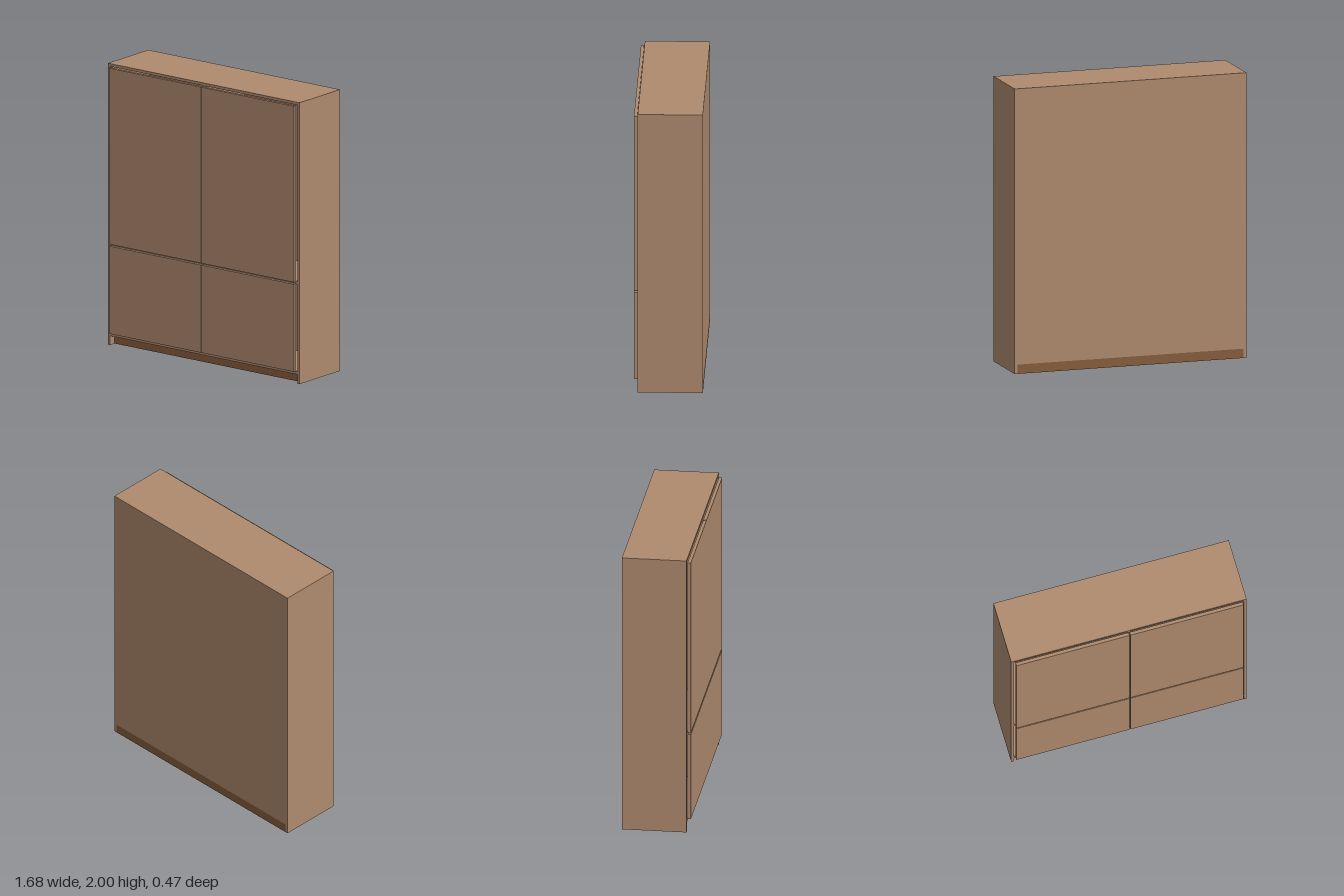
import * as THREE from 'three';

export function createModel() {
  const group = new THREE.Group();
  group.name = 'wardrobe';
  const wood = new THREE.MeshStandardMaterial({ color: 0xae8a6e });
  const darkWood = new THREE.MeshStandardMaterial({ color: 0x865c3c });

  // Box given by its extents along each axis
  function panel(name, [x0, x1], [y0, y1], [z0, z1], material = wood) {
    const mesh = new THREE.Mesh(new THREE.BoxGeometry(x1 - x0, y1 - y0, z1 - z0), material);
    mesh.position.set((x0 + x1) / 2, (y0 + y1) / 2, (z0 + z1) / 2);
    mesh.name = name;
    group.add(mesh);
  }

  const W = 0.84, T = 0.02, H = 2, back = -0.237, front = 0.21;
  const inner = W - T;

  // Carcass
  panel('leftSide', [inner, W], [0, H], [back, front]);
  panel('rightSide', [-W, -inner], [0, H], [back, front]);
  panel('topPanel', [-inner, inner], [H - T, H], [back, front]);
  panel('bottomPanel', [-inner, inner], [0.065, 0.085], [back, front]);
  panel('backPanel', [-inner, inner], [0.085, H - T], [back, back + 0.01]);

  // Interior divider and shelf
  panel('divider', [-T / 2, T / 2], [0.085, H - T], [back + 0.01, front - 0.002]);
  for (const [x0, x1] of [[-inner, -T / 2], [T / 2, inner]]) {
    panel('middleShelf', [x0, x1], [0.705, 0.725], [back + 0.01, front - 0.002]);
  }

  // Recessed plinth
  panel('plinth', [-inner, inner], [0, 0.065], [back, front - 0.05], darkWood);

  // Doors: two tall above, two short below
  for (const [name, y0, y1] of [['upperDoor', 0.724, 1.976], ['lowerDoor', 0.088, 0.711]]) {
    panel(name + 'Left', [0.003, 0.811], [y0, y1], [0.214, 0.237]);
    panel(name + 'Right', [-0.811, -0.003], [y0, y1], [0.214, 0.237]);
  }
  return group;
}
